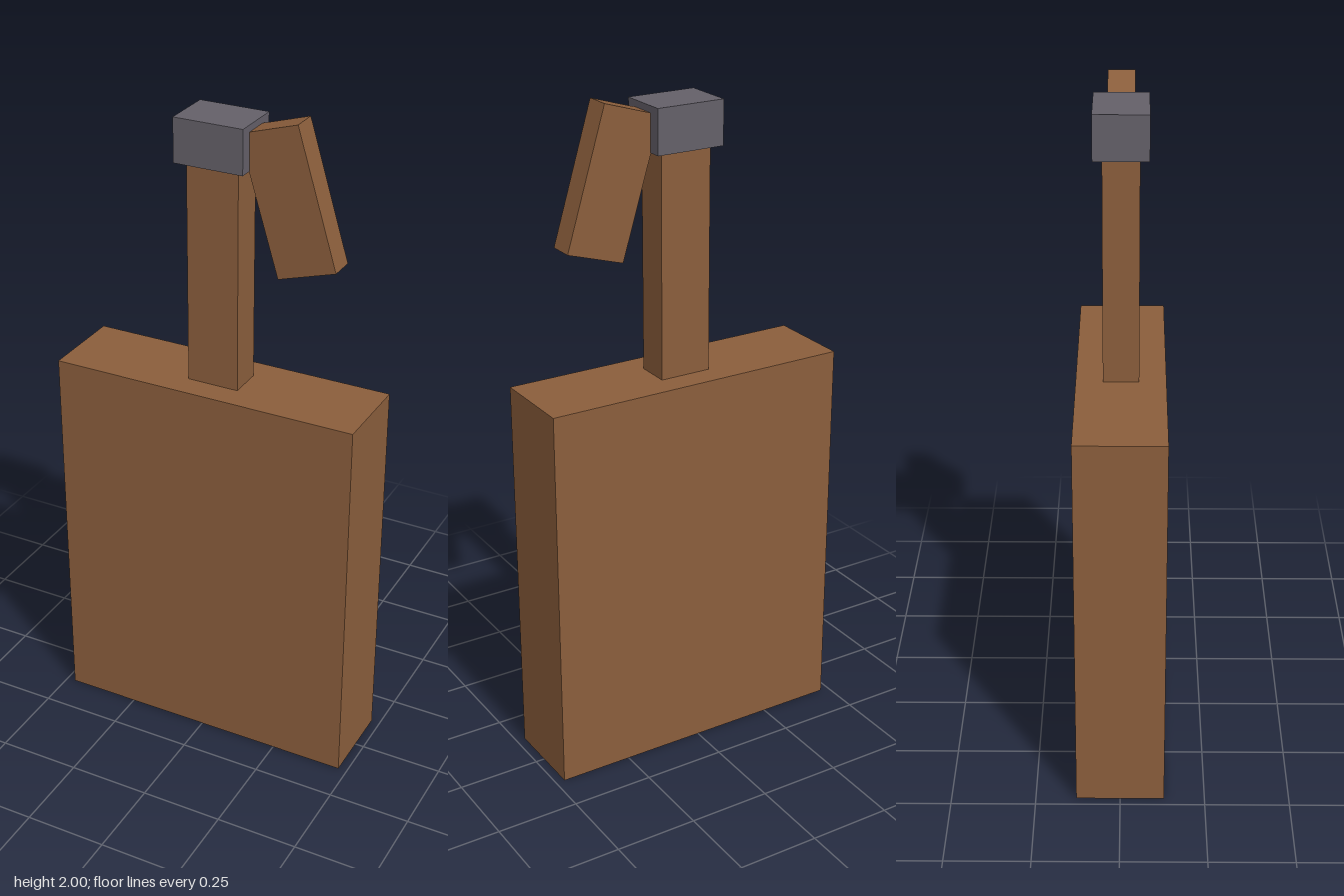
import * as THREE from 'three';

export function createModel() {
  const model = new THREE.Group();
  const wood = new THREE.MeshStandardMaterial({ color: 0x8b5e3c, flatShading: true });
  const metal = new THREE.MeshStandardMaterial({ color: 0x646069, flatShading: true });

  // Adds a named box; x, y is its centre, tilt turns it about z
  function addBox(name, material, [w, h, d], x, y, tilt = 0) {
    const mesh = new THREE.Mesh(new THREE.BoxGeometry(w, h, d), material);
    mesh.name = name;
    mesh.position.set(x, y, 0);
    mesh.rotation.z = tilt;
    model.add(mesh);
  }

  // Wide slab with a post standing on it
  addBox('body', wood, [0.945, 1.182, 0.26], 0, 0.591);
  addBox('post', wood, [0.158, 0.73, 0.104], 0, 1.547);

  // Metal block capping the post
  addBox('cap', metal, [0.21, 0.13, 0.156], 0, 1.912);

  // Slanted handle hanging from the cap's left side
  addBox('handle', wood, [0.18, 0.416, 0.078], 0.22, 1.775, 0.297);

  return model;
}
